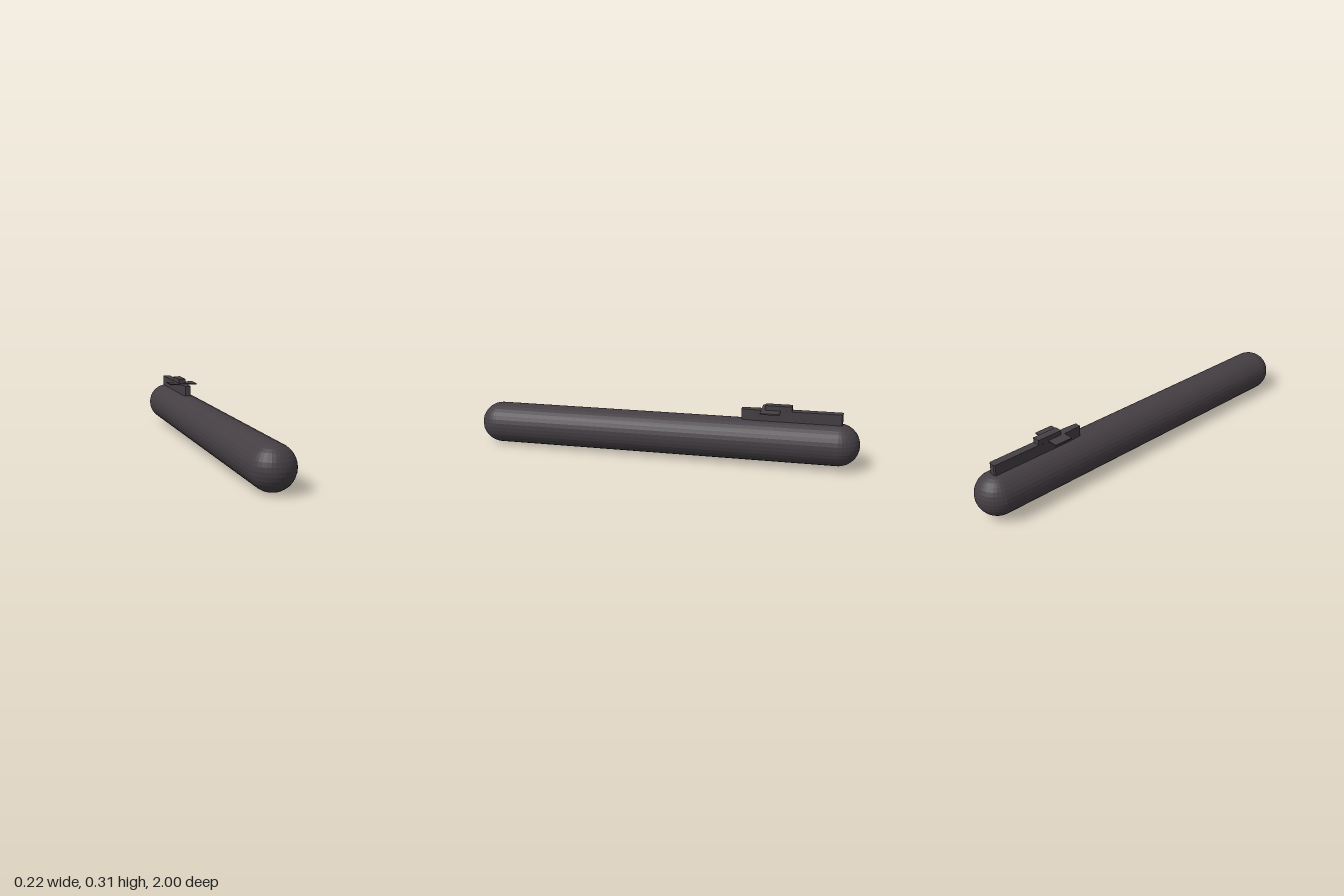
import * as THREE from 'three';

export function createModel() {
  const model = new THREE.Group();
  model.name = 'submarine';
  const paint = new THREE.MeshStandardMaterial({ color: 0x453f44 });
  paint.name = 'dark hull grey';

  // Everything sits in one slightly pitched and yawed body
  const body = new THREE.Group();
  body.name = 'body';
  body.position.y = 0.117;
  body.rotation.set(0.0095, 0.0045, 0);
  model.add(body);

  const add = (name, geometry, x = 0, y = 0, z = 0) => {
    // Faceted look: separate corners, one normal per face
    const flat = geometry.index ? geometry.toNonIndexed() : geometry;
    flat.computeVertexNormals();
    const mesh = new THREE.Mesh(flat, paint);
    mesh.name = name;
    mesh.position.set(x, y, z);
    body.add(mesh);
    return mesh;
  };

  // Round hull with domed ends
  const R = 0.107, END = 0.893;
  add('hull', new THREE.CylinderGeometry(R, R, END * 2, 32, 1, true).rotateX(Math.PI / 2));
  add('bow', new THREE.SphereGeometry(R, 32, 16), 0, 0, END);
  add('stern', new THREE.SphereGeometry(R, 32, 16), 0, 0, -END);

  // Long sail with tapered front; outline y runs towards the stern
  const outline = [[-0.015, 0.41], [0.015, 0.41], [0.02, 0.48], [0.02, 0.905],
    [0.013, 0.911], [-0.013, 0.911], [-0.02, 0.905], [-0.02, 0.48]];
  const sailShape = new THREE.Shape(outline.map(([x, y]) => new THREE.Vector2(x, y)));
  const sail = new THREE.ExtrudeGeometry(sailShape, { depth: 0.081, bevelEnabled: false });
  add('sail', sail.rotateX(-Math.PI / 2), 0, 0.08, 0);

  // Raised bridge and thin diving planes
  add('bridge', new THREE.BoxGeometry(0.039, 0.04, 0.134), 0, 0.166, -0.595);
  add('divingPlanes', new THREE.BoxGeometry(0.154, 0.006, 0.096), 0.002, 0.159, -0.557);

  return model;
}
